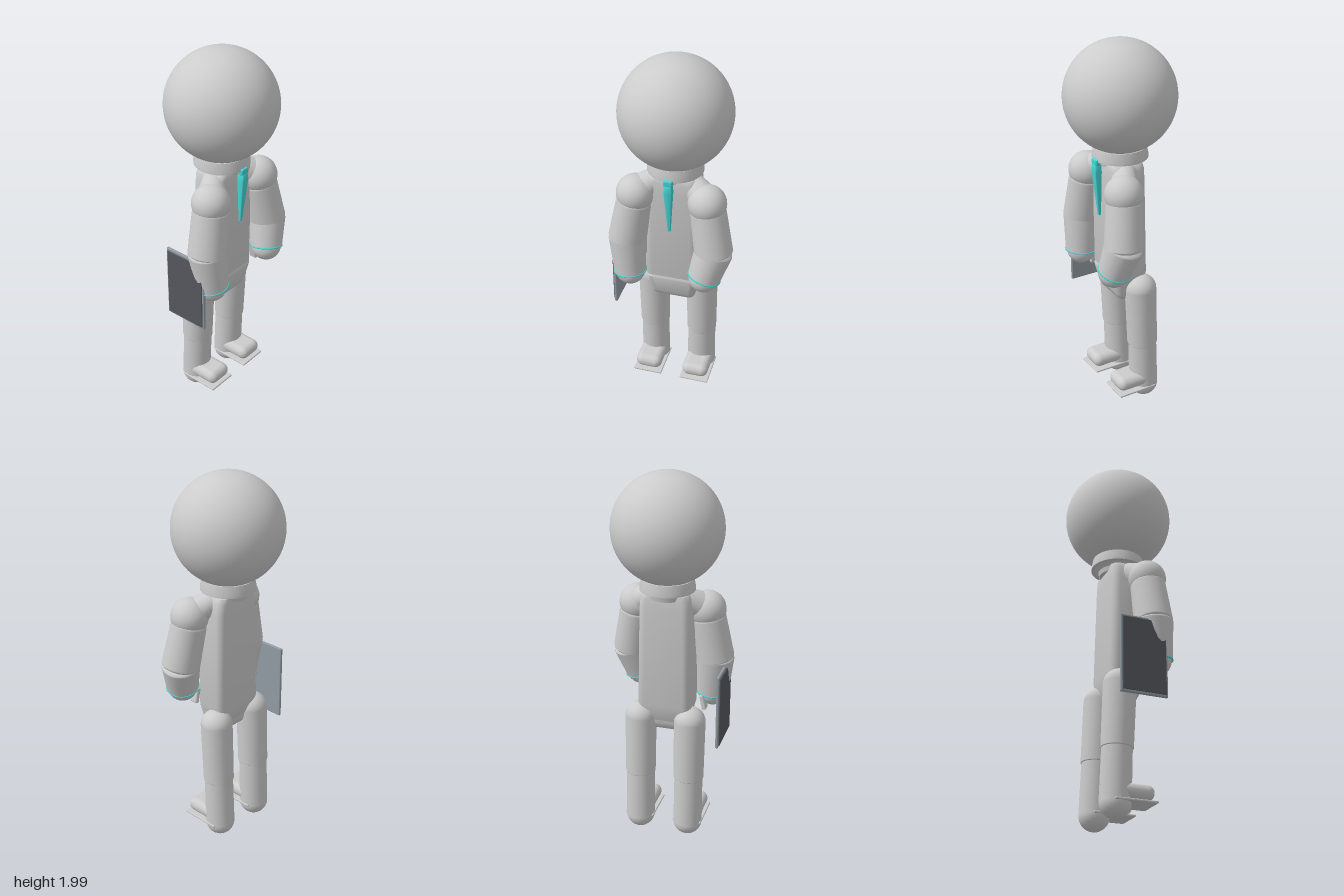
import * as THREE from 'three';
import { toCreasedNormals } from 'three/addons/utils/BufferGeometryUtils.js';
import { RoundedBoxGeometry } from 'three/addons/geometries/RoundedBoxGeometry.js';

const V = (x, y, z) => new THREE.Vector3(x, y, z);
const grey = new THREE.MeshStandardMaterial({ color: 0xcccccc });
const teal = new THREE.MeshStandardMaterial({ color: 0x45d5d5 });
const slate = new THREE.MeshStandardMaterial({ color: 0x929ca3 });
const dark = new THREE.MeshStandardMaterial({ color: 0x55585e });

function add(parent, name, geometry, material, x = 0, y = 0, z = 0) {
  const mesh = new THREE.Mesh(geometry, material);
  mesh.name = name;
  mesh.position.set(x, y, z);
  parent.add(mesh);
  return mesh;
}

// Tapered limb with rounded ends, running from a to b; cap sets how far the ends bulge
function limb(parent, name, a, b, ra, rb, capA = ra, capB = rb) {
  const dir = b.clone().sub(a), len = dir.length(), pts = [];
  for (let i = 0; i <= 8; i++) {
    const t = (i / 8) * Math.PI / 2;
    pts.push(new THREE.Vector2(ra * Math.sin(t), -capA * Math.cos(t)));
  }
  for (let i = 0; i <= 8; i++) {
    const t = (i / 8) * Math.PI / 2;
    pts.push(new THREE.Vector2(rb * Math.cos(t), len + capB * Math.sin(t)));
  }
  const mesh = add(parent, name, new THREE.LatheGeometry(pts, 32), grey, a.x, a.y, a.z);
  mesh.quaternion.setFromUnitVectors(V(0, 1, 0), dir.normalize());
  return mesh;
}

// Skin over rounded-rectangle sections [y, halfWidth, zBack, zFront, cornerRadius], bottom to top
function loft(sections) {
  const pos = [], index = [], n = 24;
  for (const [y, w, zb, zf, r] of sections) {
    for (let i = 0; i < n; i++) {
      const corner = Math.floor(i / 6), a = (corner + (i % 6) / 5) * Math.PI / 2;
      const sx = corner === 0 || corner === 3 ? 1 : -1, sz = corner < 2 ? 1 : -1;
      pos.push(sx * (w - r) + r * Math.cos(a), y, (sz > 0 ? zf - r : zb + r) + r * Math.sin(a));
    }
  }
  const rows = sections.length;
  for (let j = 0; j < rows - 1; j++) {
    for (let i = 0; i < n; i++) {
      const a = j * n + i, b = j * n + (i + 1) % n;
      index.push(a, a + n, b, b, a + n, b + n);
    }
  }
  for (let i = 1; i < n - 1; i++) {
    index.push(0, i, i + 1);
    const t = (rows - 1) * n;
    index.push(t, t + i + 1, t + i);
  }
  const g = new THREE.BufferGeometry();
  g.setAttribute('position', new THREE.Float32BufferAttribute(pos, 3));
  g.setIndex(index);
  return toCreasedNormals(g, 0.6);
}

function buildArm(parent, name, side, elbow, wrist, handRadius) {
  const arm = new THREE.Group();
  arm.name = name;
  parent.add(arm);
  const shoulder = V(side * 0.187, 1.278, 0.088);
  add(arm, 'shoulder', new THREE.SphereGeometry(0.098, 32, 24), grey, shoulder.x, shoulder.y, shoulder.z);
  limb(arm, 'shoulderSlope', V(side * 0.1, 1.34, 0.03), V(side * 0.16, 1.3, 0.07), 0.06, 0.075);
  limb(arm, 'upperArm', V(side * 0.193, 1.23, 0.09), elbow, 0.092, 0.1, 0.04, 0.03);
  limb(arm, 'forearm', elbow, wrist, 0.1, 0.085, 0.03, 0.01);
  add(arm, 'hand', new THREE.SphereGeometry(handRadius, 32, 24), grey, wrist.x, wrist.y, wrist.z);
  const thumb = add(arm, 'thumb', new RoundedBoxGeometry(0.025, 0.085, 0.045, 2, 0.008), grey,
    wrist.x - side * 0.035, wrist.y - 0.045, wrist.z - 0.06);
  thumb.rotation.z = side * 0.2;

  // Thin cuff ring square to the forearm
  const cuff = add(arm, 'cuff', new THREE.TorusGeometry(0.085, 0.004, 8, 40), teal, wrist.x, wrist.y, wrist.z);
  cuff.quaternion.setFromUnitVectors(V(0, 0, 1), wrist.clone().sub(elbow).normalize());
}

function buildLeg(parent, name, side) {
  const leg = new THREE.Group();
  leg.name = name;
  leg.position.x = side * 0.135;
  parent.add(leg);
  limb(leg, 'thigh', V(0, 0.685, -0.046), V(0, 0.355, -0.06), 0.084, 0.081, 0.08, 0.015);
  limb(leg, 'shin', V(0, 0.37, -0.06), V(0, 0.085, -0.07), 0.076, 0.078, 0.02, 0.078);
  add(leg, 'shoe', new RoundedBoxGeometry(0.146, 0.077, 0.2, 5, 0.037), grey, 0, 0.137, 0.014);
  add(leg, 'sole', new RoundedBoxGeometry(0.162, 0.012, 0.22, 2, 0.005), grey, 0, 0.088, 0.01);
}

export function createModel() {
  const model = new THREE.Group();
  model.name = 'figure';

  add(model, 'head', new THREE.SphereGeometry(0.285, 64, 48), grey, 0, 1.715, 0);

  // Collar flaring out over the neck
  const collar = [[0, 1.36], [0.1, 1.36], [0.105, 1.385], [0.125, 1.4], [0.143, 1.4],
    [0.143, 1.415], [0.134, 1.46], [0, 1.475]].map(([r, y]) => new THREE.Vector2(r, y));
  add(model, 'collar', toCreasedNormals(new THREE.LatheGeometry(collar, 48), 0.6), grey);

  // Long jacket tapering into the hips
  add(model, 'torso', loft([
    [0.66, 0.105, -0.06, 0.05, 0.03], [0.7, 0.125, -0.075, 0.07, 0.035],
    [0.77, 0.145, -0.09, 0.09, 0.04], [1.3, 0.136, -0.08, 0.1, 0.04],
    [1.36, 0.13, -0.079, 0.1, 0.04], [1.385, 0.12, -0.075, 0.095, 0.04],
    [1.4, 0.1, -0.06, 0.08, 0.035],
  ]), grey);
  add(model, 'pelvis', loft([
    [0.618, 0.095, -0.04, 0.045, 0.025], [0.632, 0.112, -0.055, 0.062, 0.03],
    [0.66, 0.122, -0.065, 0.075, 0.035], [0.76, 0.138, -0.07, 0.095, 0.035],
    [0.785, 0.125, -0.06, 0.085, 0.03],
  ]), grey);

  // Tie: knot and a blade narrowing downwards
  add(model, 'tieKnot', new RoundedBoxGeometry(0.05, 0.036, 0.03, 3, 0.01), teal, 0, 1.396, 0.138);
  add(model, 'tieBlade', loft([
    [1.1, 0.007, 0.115, 0.13, 0.004], [1.34, 0.022, 0.115, 0.155, 0.008],
    [1.375, 0.02, 0.115, 0.155, 0.008], [1.39, 0.014, 0.122, 0.148, 0.006],
  ]), teal);

  buildArm(model, 'leftArm', 1, V(0.231, 1.01, 0.115), V(0.192, 0.862, 0.147), 0.08);
  buildArm(model, 'rightArm', -1, V(-0.231, 1.01, 0.1), V(-0.217, 0.805, 0.115), 0.079);
  buildLeg(model, 'leftLeg', 1);
  buildLeg(model, 'rightLeg', -1);

  // Flat tablet held upright beside the right hand
  const tablet = new THREE.Group();
  tablet.name = 'tablet';
  tablet.position.set(-0.3, 0.785, 0.013);
  model.add(tablet);
  add(tablet, 'tabletBack', new RoundedBoxGeometry(0.016, 0.41, 0.25, 2, 0.006), slate, 0.002, 0, 0);
  add(tablet, 'tabletScreen', new RoundedBoxGeometry(0.008, 0.385, 0.23, 2, 0.003), dark, -0.008, 0, 0);

  return model;
}
